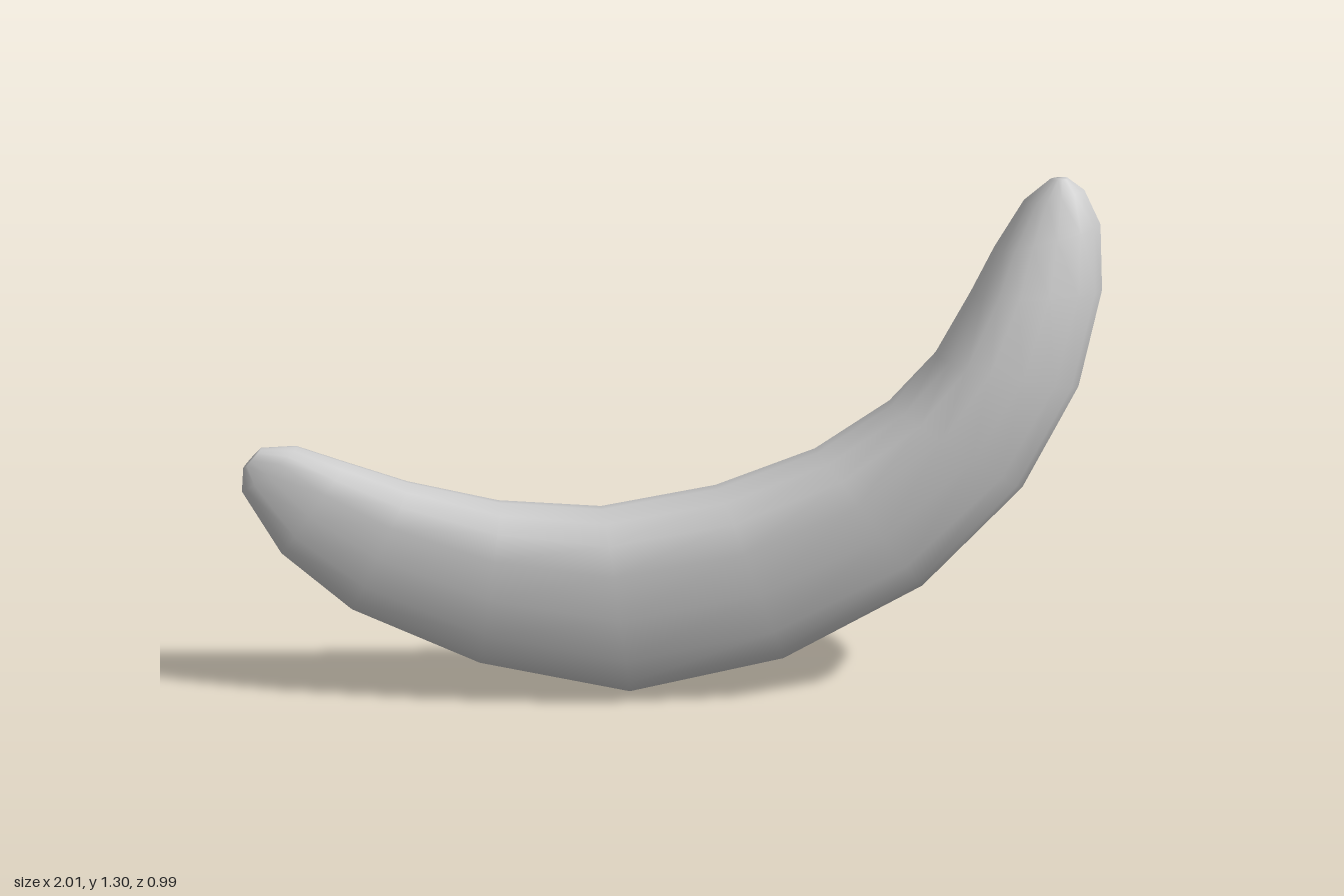
import * as THREE from 'three';

// Cross-sections from the low tip to the high tip:
// outer edge x, y, inner edge x, y, then back and front thickness limits
const SECTIONS = [
  [-0.985, 0.61, -0.94, 0.66, -0.03, 0.02],
  [-0.995, 0.55, -0.86, 0.66, -0.06, 0.045],
  [-0.91, 0.39, -0.75, 0.62, -0.075, 0.085],
  [-0.75, 0.24, -0.60, 0.565, -0.085, 0.125],
  [-0.45, 0.09, -0.39, 0.51, -0.1, 0.175],
  [-0.09, 0.005, -0.15, 0.49, -0.105, 0.22],
  [0.28, 0.09, 0.12, 0.54, -0.1, 0.25],
  [0.61, 0.28, 0.35, 0.63, -0.09, 0.255],
  [0.84, 0.54, 0.52, 0.75, -0.08, 0.25],
  [0.96, 0.80, 0.62, 0.87, -0.075, 0.22],
  [1.0, 1.04, 0.69, 1.02, -0.075, 0.165],
  [0.985, 1.20, 0.735, 1.13, -0.07, 0.105],
  [0.94, 1.28, 0.80, 1.25, -0.055, 0.065],
  [0.90, 1.31, 0.86, 1.305, -0.015, 0.035],
];
const SIDES = 16;
const COS = 0.903, SIN = 0.43; // the curve lies in a vertical plane turned about y

// Rounded-square profile
const soften = (v) => Math.sign(v) * Math.pow(Math.abs(v), 0.8);

function hornGeometry() {
  const positions = [], index = [];
  // u runs along the turned plane, n across it
  const put = (u, y, n) => positions.push(u * COS + n * SIN, y, -u * SIN + n * COS);

  const centres = SECTIONS.map(([ox, oy, ix, iy, back, front]) => {
    const n = (back + front) / 2, half = (front - back) / 2;
    const u = ((ox + ix) / 2 - n * SIN) / COS, y = (oy + iy) / 2;
    const du = ((ox - ix) / 2 / COS) * 0.95, dy = (oy - iy) / 2;
    for (let j = 0; j < SIDES; j++) {
      const a = (j / SIDES) * Math.PI * 2;
      const c = soften(Math.cos(a)), s = soften(Math.sin(a));
      put(u + du * c, y + dy * c, n + half * s);
    }
    return [u, y, n];
  });

  // Skin between neighbouring rings
  const last = SECTIONS.length - 1;
  for (let i = 0; i < last; i++) {
    for (let j = 0; j < SIDES; j++) {
      const k = (j + 1) % SIDES;
      const a = i * SIDES + j, b = i * SIDES + k;
      index.push(a, a + SIDES, b + SIDES, a, b + SIDES, b);
    }
  }

  // Closed tips
  const start = positions.length / 3;
  put(...centres[0]);
  put(...centres[last]);
  for (let j = 0; j < SIDES; j++) {
    const k = (j + 1) % SIDES;
    index.push(start, j, k, start + 1, last * SIDES + k, last * SIDES + j);
  }

  const geometry = new THREE.BufferGeometry();
  geometry.setAttribute('position', new THREE.Float32BufferAttribute(positions, 3));
  geometry.setIndex(index);
  geometry.computeVertexNormals();
  return geometry;
}

export function createModel() {
  const group = new THREE.Group();
  group.name = 'curvedHorn';
  const horn = new THREE.Mesh(hornGeometry(), new THREE.MeshStandardMaterial({ color: 0xcccccc }));
  horn.name = 'hornBody';
  group.add(horn);
  return group;
}
